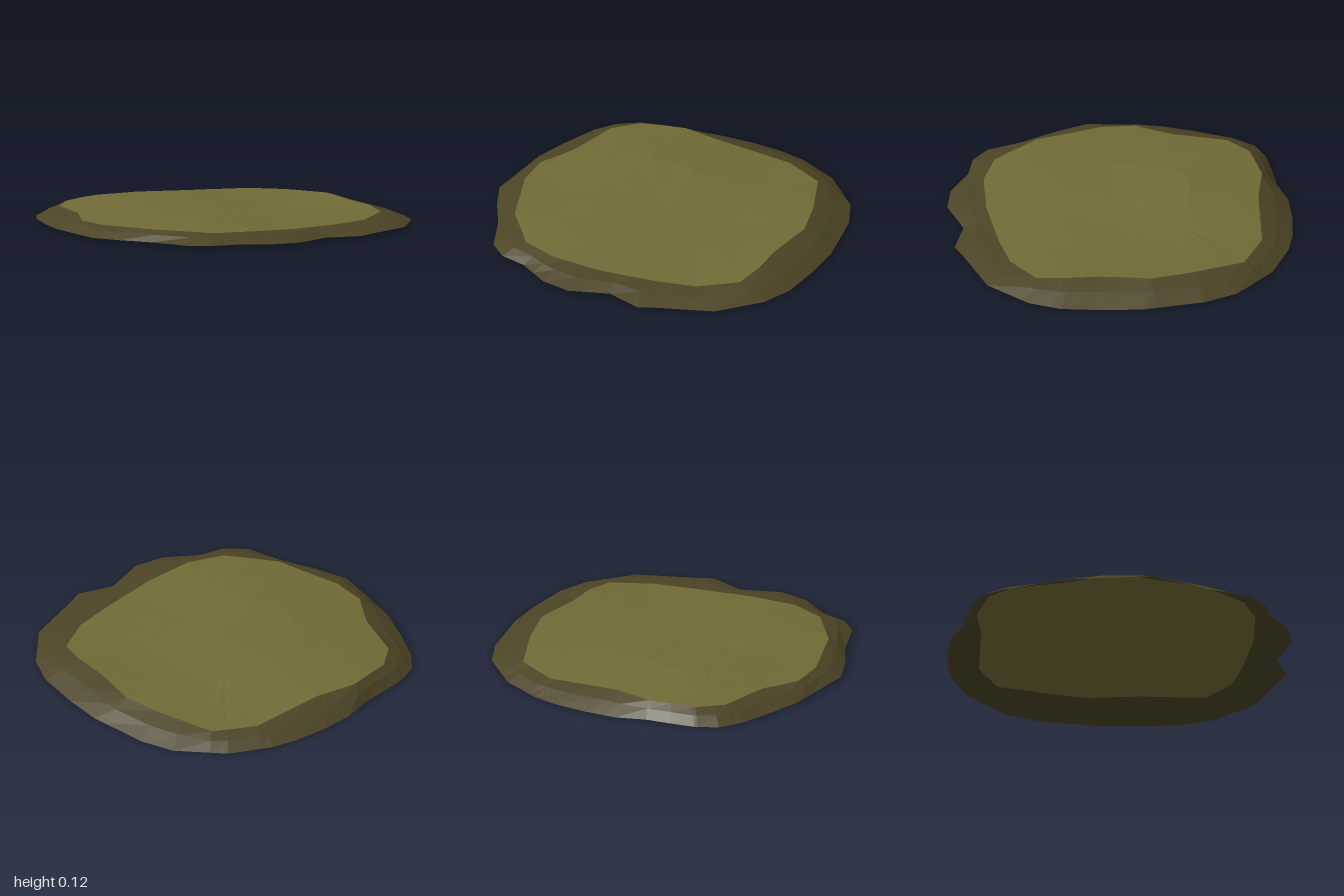
import * as THREE from 'three';

// Outlines as x, z pairs, clockwise seen from above
const RIM = [
  -0.08, -0.97, 0.11, -0.97, 0.3, -0.95, 0.45, -0.91, 0.68, -0.79, 0.89, -0.56, 0.96, -0.37, 1, -0.02,
  0.985, 0.2, 0.945, 0.45, 0.865, 0.62, 0.65, 0.83, 0.32, 0.93, 0.23, 0.965, 0.03, 0.89, -0.2, 0.955,
  -0.37, 0.915, -0.54, 0.795, -0.69, 0.75, -0.785, 0.655, -0.855, 0.42, -0.94, 0.24, -1, 0.06,
  -0.93, -0.35, -0.86, -0.53, -0.76, -0.74, -0.67, -0.85, -0.54, -0.9, -0.4, -0.915, -0.25, -0.925,
];
const INNER = [
  -0.24, -0.84, 0, -0.79, 0.43, -0.76, 0.66, -0.63, 0.76, -0.33, 0.81, -0.08, 0.75, 0.2, 0.735, 0.4,
  0.69, 0.56, 0.47, 0.68, 0.25, 0.715, -0.1, 0.745, -0.39, 0.725, -0.59, 0.64, -0.77, 0.38,
  -0.87, 0, -0.86, -0.2, -0.73, -0.4, -0.635, -0.69, -0.5, -0.8,
];

// Gentle ground heights every 0.4 units: rows run back to front, columns left to right in x
const HEIGHTS = [
  [0.06, 0.085, 0.085, 0.06, 0.05],
  [0.07, 0.113, 0.116, 0.075, 0.08],
  [0.07, 0.098, 0.088, 0.07, 0.09],
  [0.075, 0.103, 0.075, 0.065, 0.085],
  [0.05, 0.065, 0.055, 0.045, 0.05],
];

function groundHeight(x, z) {
  const u = THREE.MathUtils.clamp((x + 0.8) / 0.4, 0, 3.999);
  const v = THREE.MathUtils.clamp((z + 0.8) / 0.4, 0, 3.999);
  const i = Math.floor(u), j = Math.floor(v);
  const row = (r) => THREE.MathUtils.lerp(HEIGHTS[r][i], HEIGHTS[r][i + 1], u - i);
  return THREE.MathUtils.lerp(row(j), row(j + 1), v - j);
}

const toPoints = (flat) =>
  Array.from({ length: flat.length / 2 }, (_, i) => new THREE.Vector2(flat[2 * i], flat[2 * i + 1]));

// Distance from the centre to an outline along an angle
function reach(points, angle) {
  const d = new THREE.Vector2(Math.cos(angle), Math.sin(angle));
  for (let i = 0; i < points.length; i++) {
    const a = points[i], b = points[(i + 1) % points.length];
    const sa = d.cross(a), sb = d.cross(b);
    if (sa <= 1e-9 && sb >= -1e-9 && sb - sa > 1e-9) {
      const p = a.clone().lerp(b, THREE.MathUtils.clamp(-sa / (sb - sa), 0, 1));
      if (p.dot(d) > 0) return p.length();
    }
  }
  return 0.8;
}

// Joins closed rings of points into a surface facing up
function loft(rings) {
  const n = rings[0].length, index = [];
  for (let r = 0; r + 1 < rings.length; r++) {
    for (let i = 0; i < n; i++) {
      const a = r * n + i, b = r * n + ((i + 1) % n);
      if (r > 0 || rings[0][0].distanceTo(rings[0][1]) > 1e-6) index.push(a, b, b + n);
      index.push(a, b + n, a + n);
    }
  }
  const geometry = new THREE.BufferGeometry().setFromPoints(rings.flat());
  geometry.setIndex(index);
  geometry.computeVertexNormals();
  return geometry;
}

export function createModel() {
  const moss = new THREE.MeshStandardMaterial({ color: 0x716a36, flatShading: true, side: THREE.DoubleSide });
  moss.name = 'olive moss';
  const soil = new THREE.MeshStandardMaterial({ color: 0x4c4425, flatShading: true, side: THREE.DoubleSide });
  soil.name = 'dark soil';

  // One spoke through every outline corner
  const rim = toPoints(RIM), inner = toPoints(INNER);
  const angles = [...rim, ...inner].map((p) => Math.atan2(p.y, p.x)).sort((a, b) => a - b);
  const spokes = angles.map((a) => ({ c: Math.cos(a), s: Math.sin(a), ri: reach(inner, a), ro: reach(rim, a) }));

  // Rolling top patch
  const topRings = [0, 0.25, 0.5, 0.75, 1].map((t) =>
    spokes.map(({ c, s, ri }) => {
      const x = c * ri * t, z = s * ri * t;
      return new THREE.Vector3(x, groundHeight(x, z), z);
    }));

  // Sloping border, slightly rounded, down to a thin rim
  const edgeRings = [0, 0.5, 1].map((t) =>
    spokes.map(({ c, s, ri, ro }) => {
      const r = THREE.MathUtils.lerp(ri, ro, t);
      const rimY = 0.01 - 0.005 * c * ro + 0.008 * s * ro;
      const y = THREE.MathUtils.lerp(groundHeight(c * ri, s * ri), rimY, t) + 0.008 * Math.sin(Math.PI * t);
      return new THREE.Vector3(c * r, y, s * r);
    }));

  const group = new THREE.Group();
  group.name = 'groundPatch';
  const add = (name, rings, material) => {
    const mesh = new THREE.Mesh(loft(rings), material);
    mesh.name = name;
    group.add(mesh);
  };
  add('mossTop', topRings, moss);
  add('soilBorder', edgeRings, soil);
  return group;
}
